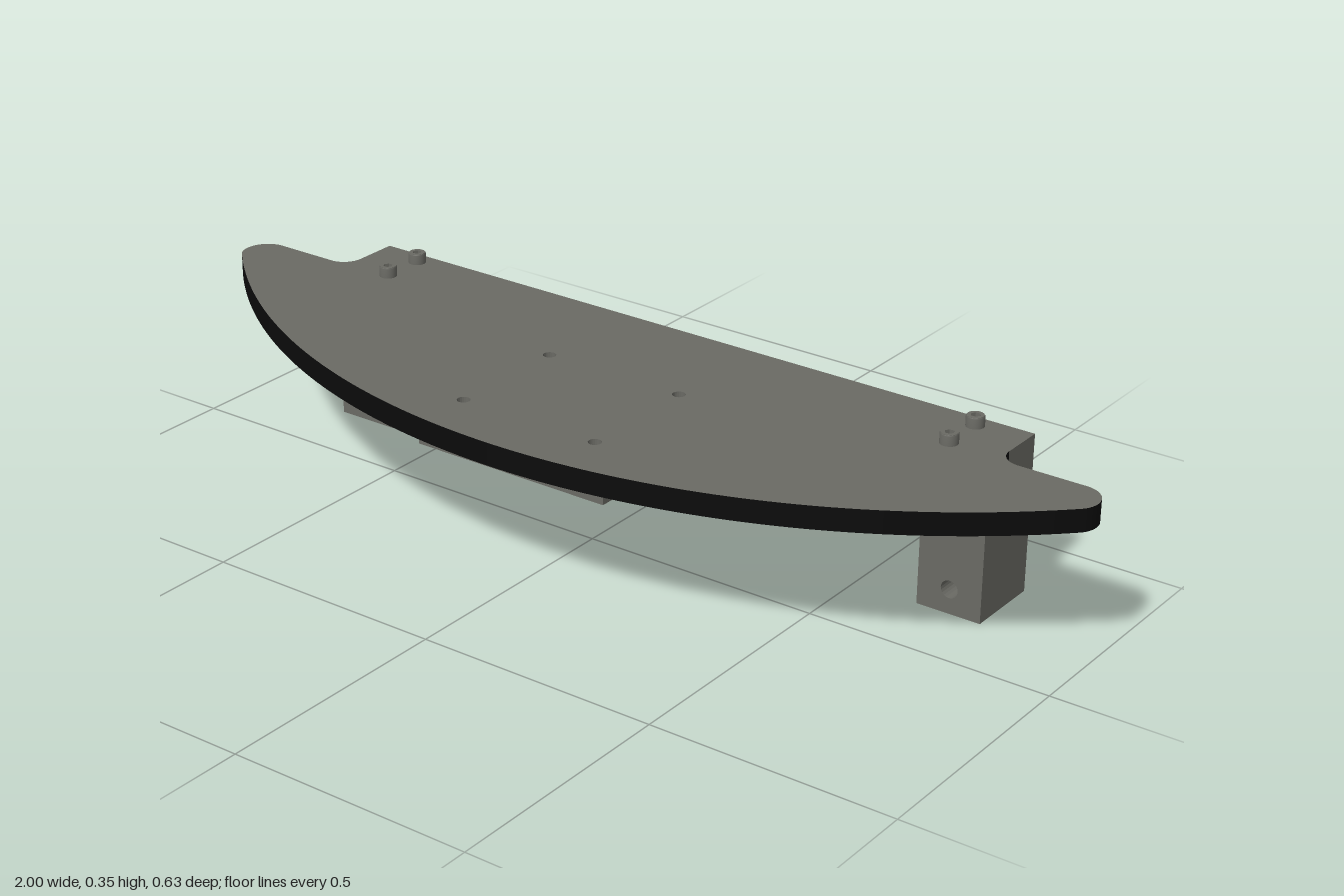
import * as THREE from 'three';

const gray = new THREE.MeshStandardMaterial({ color: 0x6a6a64 });
gray.name = 'warm gray';
const black = new THREE.MeshStandardMaterial({ color: 0x0b0b0b });
black.name = 'black edging';

const PLATE_Y = 0.277, PLATE_TOP = 0.323;
const BOLTS = [[-0.153, -0.066], [0.153, -0.066], [-0.153, 0.195], [0.153, 0.195]];

function hole(shape, x, y, r, segments = 20) {
  const pts = [];
  for (let i = 0; i < segments; i++) {
    const a = (i / segments) * Math.PI * 2;
    pts.push(new THREE.Vector2(x + r * Math.cos(a), y + r * Math.sin(a)));
  }
  shape.holes.push(new THREE.Path(pts));
}

function rect(x0, y0, x1, y1) {
  return new THREE.Shape([[x0, y0], [x1, y0], [x1, y1], [x0, y1]].map(p => new THREE.Vector2(...p)));
}

// Horizontal slab: shape coordinates are (x, -z)
function slab(shape, y0, y1, curveSegments = 32) {
  const g = new THREE.ExtrudeGeometry(shape, { depth: y1 - y0, bevelEnabled: false, curveSegments });
  return g.rotateX(-Math.PI / 2).translate(0, y0, 0);
}

function add(parent, name, geometry, material = gray) {
  const m = new THREE.Mesh(geometry, material);
  m.name = name;
  parent.add(m);
  return m;
}

function makeTabletop(parent) {
  const R = 1.39, cy = R - 0.315, a = Math.atan2(-0.945, 0.95);
  const s = new THREE.Shape();
  s.moveTo(0.77, 0.315);
  s.lineTo(-0.77, 0.315);
  s.lineTo(-0.77, 0.222);
  s.absarc(-0.812, 0.222, 0.042, 0, -Math.PI / 2, true);
  s.lineTo(-0.95, 0.18);
  s.absarc(-0.95, 0.13, 0.05, Math.PI / 2, Math.PI - a, false);
  s.absarc(0, cy, R, -Math.PI - a, a, false);
  s.absarc(0.95, 0.13, 0.05, a, Math.PI / 2, false);
  s.lineTo(0.812, 0.18);
  s.absarc(0.812, 0.222, 0.042, -Math.PI / 2, -Math.PI, true);
  s.closePath();
  BOLTS.forEach(([x, z]) => hole(s, x, -z, 0.013));
  const g = slab(s, PLATE_Y, PLATE_TOP, 48);

  // Black edging on the curved rim; faces, bolt holes and rear edges stay gray
  const p = g.attributes.position, n = g.attributes.normal;
  g.clearGroups();
  let start = 0, last = -1;
  for (let i = 0; i <= p.count; i += 3) {
    let m = -2;
    if (i < p.count) {
      const x = (p.getX(i) + p.getX(i + 1) + p.getX(i + 2)) / 3;
      const z = (p.getZ(i) + p.getZ(i + 1) + p.getZ(i + 2)) / 3;
      const isFace = Math.abs(n.getY(i)) > 0.5;
      const isHole = Math.abs(x) < 0.3 && Math.abs(z) < 0.22;
      m = isFace || isHole || z < -0.2225 ? 0 : 1;
    }
    if (m !== last) {
      if (last >= 0) g.addGroup(start, i - start, last);
      start = i;
      last = m;
    }
  }
  add(parent, 'tabletop', g, [gray, black]);
}

function makeLeg(side) {
  const leg = new THREE.Group();
  const x0 = side > 0 ? 0.635 : -0.77, x1 = x0 + 0.135, xc = x0 + 0.0675;
  const z0 = -0.315, z1 = -0.153, foot = 0.025;
  // Block with two cross holes running front to back
  const body = rect(x0, foot, x1, PLATE_Y);
  hole(body, xc, 0.235, 0.018);
  hole(body, xc, 0.05, 0.018);
  add(leg, 'legBlock', new THREE.ExtrudeGeometry(body, { depth: z1 - z0, bevelEnabled: false }).translate(0, 0, z0));
  // Foot with a blind hole
  const base = rect(x0, -z1, x1, -z0);
  hole(base, xc, 0.234, 0.01);
  add(leg, 'legFoot', slab(base, 0, foot));
  return leg;
}

// Cap screw head with a hex socket
function makeScrew() {
  const screw = new THREE.Group();
  const profile = [[0.0095, 0.022], [0.016, 0.022], [0.018, 0.02], [0.018, 0]].map(p => new THREE.Vector2(...p));
  const ring = new THREE.Shape();
  ring.absarc(0, 0, 0.0165, 0, Math.PI * 2, false);
  hole(ring, 0, 0, 0.0095, 6);
  add(screw, 'screwTop', slab(ring, 0.008, 0.0222, 12));
  const shell = new THREE.LatheGeometry(profile.slice(1).reverse(), 24);
  add(screw, 'screwRim', shell);
  add(screw, 'socketFloor', new THREE.CylinderGeometry(0.0165, 0.0165, 0.008, 24).translate(0, 0.004, 0));
  return screw;
}

export function createModel() {
  const model = new THREE.Group();
  model.name = 'shelfTable';
  makeTabletop(model);

  // Legs and their screws
  for (const side of [1, -1]) {
    const leg = makeLeg(side);
    leg.name = side > 0 ? 'leftLeg' : 'rightLeg';
    model.add(leg);
    for (const z of [-0.188, -0.28]) {
      const screw = makeScrew();
      screw.name = 'capScrew';
      screw.position.set(side * 0.665, PLATE_TOP, z);
      model.add(screw);
    }
  }

  // Mounting block under the top
  const block = rect(-0.215, -0.253, 0.215, 0.117);
  BOLTS.forEach(([x, z]) => hole(block, x, -z, 0.013));
  add(model, 'mountingBlock', slab(block, 0.237, PLATE_Y));

  // Round cover in the block with a small off-centre hole
  const cover = new THREE.Shape();
  cover.absarc(0, -0.066, 0.083, 0, Math.PI * 2, false);
  hole(cover, -0.058, -0.086, 0.01);
  add(model, 'roundCover', slab(cover, 0.235, 0.238));

  return model;
}
